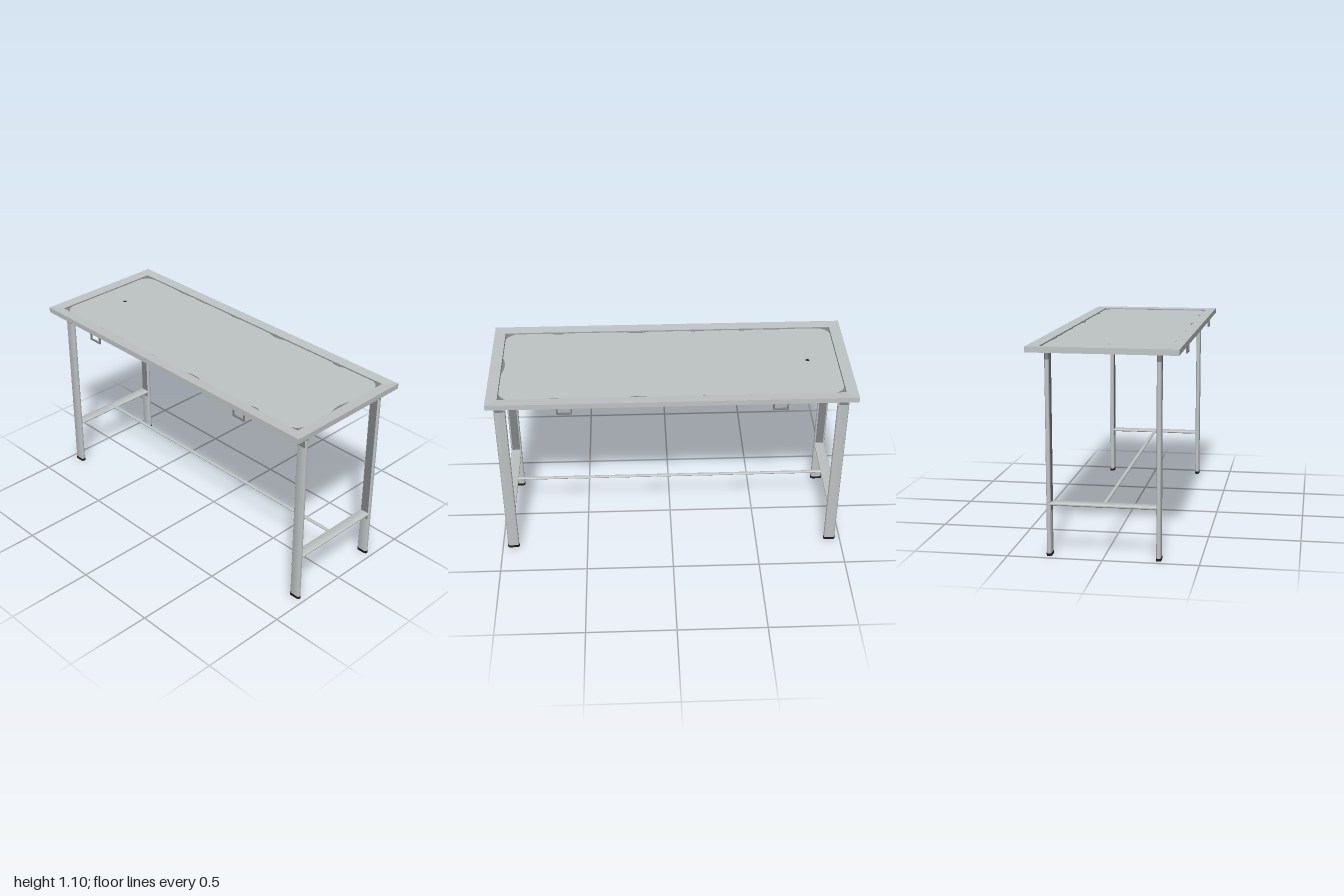
import * as THREE from 'three';
import { toCreasedNormals } from 'three/addons/utils/BufferGeometryUtils.js';

function flatColour(name, color) {
  const material = new THREE.MeshStandardMaterial({ color });
  material.name = name;
  return material;
}
const steel = flatColour('brushed steel', 0xbfc4c4);
const darkSteel = flatColour('dark steel', 0x808484);
const black = flatColour('black plastic', 0x1c1c1c);

function add(parent, name, geometry, material, x = 0, y = 0, z = 0) {
  const mesh = new THREE.Mesh(geometry, material);
  mesh.name = name;
  mesh.position.set(x, y, z);
  parent.add(mesh);
  return mesh;
}

// Bar along z with a flat-sided, round-ended section
function ovalBar(width, thickness, length) {
  const r = thickness / 2, s = width / 2 - r;
  const shape = new THREE.Shape();
  shape.absarc(s, 0, r, -Math.PI / 2, Math.PI / 2);
  shape.absarc(-s, 0, r, Math.PI / 2, Math.PI * 1.5);
  shape.closePath();
  const g = new THREE.ExtrudeGeometry(shape, { depth: length, bevelEnabled: false, curveSegments: 12 });
  return toCreasedNormals(g, 0.6);
}

// Rectangular loops [half x, half z, y] joined by mitred faces
function mitredLoft(loops) {
  const signs = [[1, 1], [1, -1], [-1, -1], [-1, 1]];
  const at = ([hx, hz, y], i) => [signs[i % 4][0] * hx, y, signs[i % 4][1] * hz];
  const pos = [];
  for (let k = 0; k < loops.length - 1; k++) {
    for (let i = 0; i < 4; i++) {
      const a = at(loops[k], i), b = at(loops[k], i + 1);
      const c = at(loops[k + 1], i + 1), d = at(loops[k + 1], i);
      pos.push(...a, ...b, ...c, ...a, ...c, ...d);
    }
  }
  const g = new THREE.BufferGeometry();
  g.setAttribute('position', new THREE.Float32BufferAttribute(pos, 3));
  g.computeVertexNormals();
  return g;
}

// Horizontal plate from a shape whose y runs towards the back
function plate(shape, thickness) {
  return new THREE.ExtrudeGeometry(shape, { depth: thickness, bevelEnabled: false, curveSegments: 16 })
    .rotateX(-Math.PI / 2);
}

// Tray floor with a round drain opening
function trayFloor(hx, hz, thickness) {
  const shape = new THREE.Shape();
  shape.moveTo(-hx, -hz).lineTo(hx, -hz).lineTo(hx, hz).lineTo(-hx, hz).closePath();
  shape.holes.push(new THREE.Path().absarc(-0.77, 0, 0.0125, 0, Math.PI * 2, true));
  return plate(shape, thickness);
}

// Dark fillet in a tray corner, with the corner itself at the origin
function cornerPatch(size) {
  const shape = new THREE.Shape();
  shape.moveTo(0, 0).lineTo(size, 0).quadraticCurveTo(size * 0.2, size * 0.2, 0, size).closePath();
  return plate(shape, 0.001);
}

// Slim dark bulge along a tray edge, flat side on the x axis
function edgePatch(length, depth) {
  const shape = new THREE.Shape();
  shape.moveTo(-length / 2, 0).lineTo(length / 2, 0).quadraticCurveTo(0, depth * 2, -length / 2, 0);
  return plate(shape, 0.001);
}

export function createModel() {
  const table = new THREE.Group();
  table.name = 'workTable';

  // Top: folded rim, open underneath, around a sunken tray
  add(table, 'rim', mitredLoft([
    [0.935, 0.327, 1.077], [0.942, 0.334, 1.077], [0.942, 0.334, 1.084], [0.99, 0.38, 1.086],
    [0.99, 0.38, 1.067], [1, 0.39, 1.067], [1, 0.39, 1.097], [0.938, 0.33, 1.093],
  ]), steel);
  add(table, 'trayWall', mitredLoft([[0.938, 0.33, 1.093], [0.935, 0.327, 1.087]]), darkSteel);
  add(table, 'trayFloor', trayFloor(0.935, 0.327, 0.01), steel, 0, 1.077, 0);
  add(table, 'drain', new THREE.CylinderGeometry(0.0125, 0.0125, 0.003, 24), black, -0.77, 1.081, 0);

  // Dark fillets in the tray corners and along its edges
  const corner = cornerPatch(0.06);
  [[-1, 1], [1, 1], [1, -1], [-1, -1]].forEach(([sx, sz], i) => {
    add(table, 'trayCorner', corner, darkSteel, sx * 0.935, 1.0868, sz * 0.327).rotation.y = i * Math.PI / 2;
  });
  const bulges = [[-0.6, 0.12, 0.005], [-0.44, 0.12, 0.005], [-0.16, 0.12, 0.005], [0.18, 0.13, 0.012], [0.635, 0.08, 0.012]];
  for (const [x, length, depth] of bulges) {
    const bulge = edgePatch(length, depth);
    add(table, 'trayEdge', bulge, darkSteel, x, 1.0868, 0.327);
    add(table, 'trayEdge', bulge, darkSteel, x, 1.0868, -0.327).rotation.y = Math.PI;
  }
  add(table, 'trayEdge', edgePatch(0.16, 0.015), darkSteel, 0.935, 1.0868, 0).rotation.y = Math.PI / 2;

  const legGeometry = ovalBar(0.065, 0.024, 1.018).rotateX(-Math.PI / 2);
  const legTopGeometry = ovalBar(0.065, 0.024, 0.051).rotateX(-Math.PI / 2);
  const outerPlate = new THREE.BoxGeometry(0.05, 0.045, 0.002);
  const innerPlate = new THREE.BoxGeometry(0.046, 0.79, 0.002);
  const footGeometry = ovalBar(0.069, 0.028, 0.014).rotateX(-Math.PI / 2);
  const crossBarGeometry = ovalBar(0.062, 0.014, 0.552);
  const hookSide = new THREE.BoxGeometry(0.008, 0.052, 0.009);
  const hookBase = new THREE.BoxGeometry(0.084, 0.008, 0.009);

  for (const sx of [-1, 1]) {
    for (const sz of [-1, 1]) {
      // Leg with dark top and inner face, and its black foot
      const x = sx * 0.937, z = sz * 0.286;
      add(table, 'leg', legGeometry, steel, x, 0.012, z);
      add(table, 'legTop', legTopGeometry, darkSteel, x, 1.03, z);
      add(table, 'legOuterPlate', outerPlate, darkSteel, x, 1.0075, z + sz * 0.0115);
      add(table, 'legInnerPlate', innerPlate, darkSteel, x, 0.635, z - sz * 0.0115);
      add(table, 'foot', footGeometry, black, x, 0, z);

      // Square wire bracket under the long edge
      const bracket = new THREE.Group();
      bracket.name = 'bracket';
      bracket.position.set(sx * 0.58, 0, sz * 0.384);
      for (const s of [-1, 1]) add(bracket, 'bracketSide', hookSide, darkSteel, s * 0.038, 1.053, 0);
      add(bracket, 'bracketBase', hookBase, darkSteel, 0, 1.031, 0);
      table.add(bracket);
    }
    // Flat oval bar between front and back legs
    add(table, 'crossBar', crossBarGeometry, steel, sx * 0.937, 0.278, -0.276);
  }

  // Long rail joining the two cross bars
  add(table, 'stretcher', ovalBar(0.02, 0.012, 1.82).rotateY(Math.PI / 2), steel, -0.91, 0.279, 0);

  return table;
}
